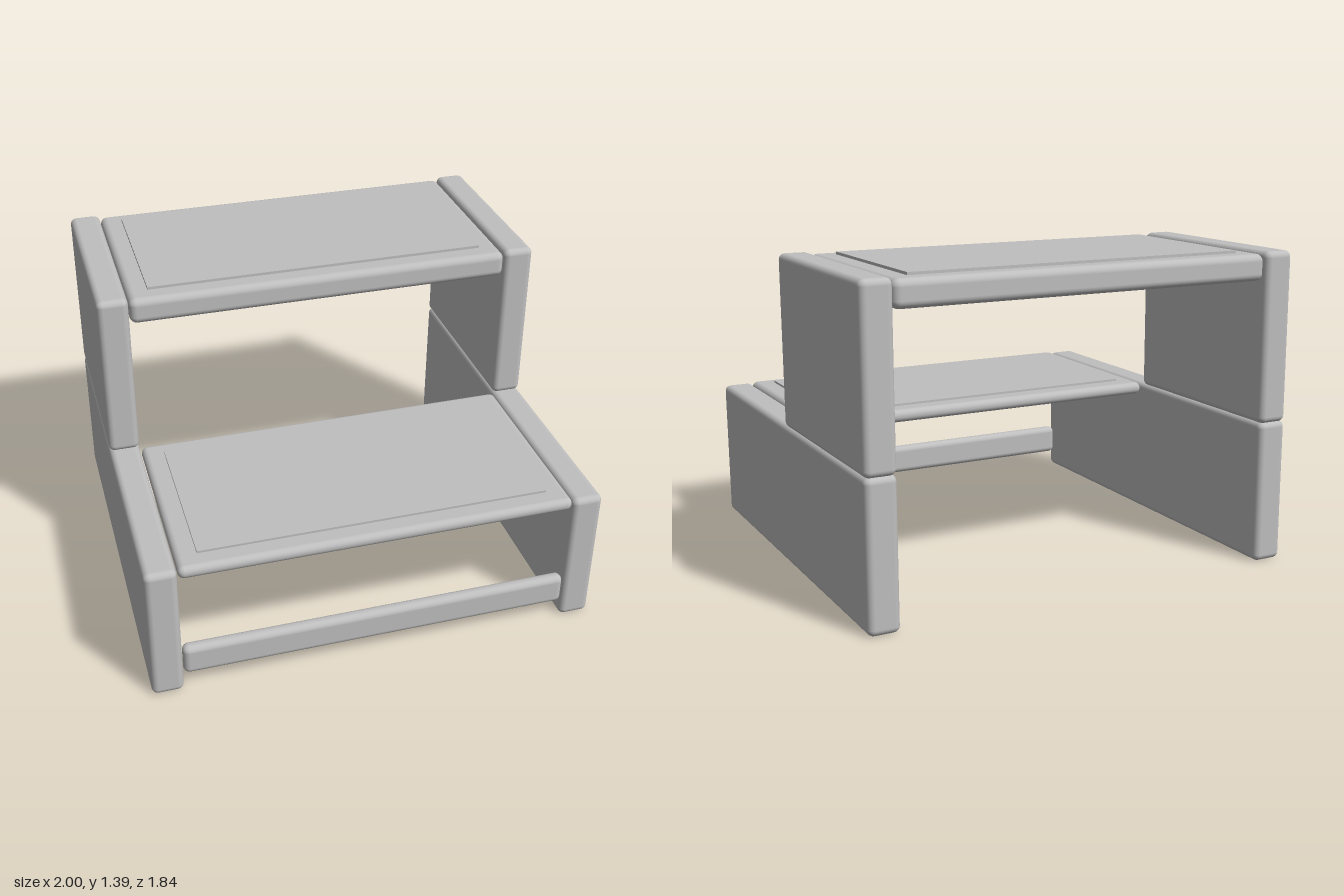
import * as THREE from 'three';
import { RoundedBoxGeometry } from 'three/addons/geometries/RoundedBoxGeometry.js';

const grey = new THREE.MeshStandardMaterial({ color: 0xbfbfbf });
grey.name = 'plain grey';

// The whole stool leans very slightly towards +x with height.
const LEAN = 0.008;

function place(geometry, name, x, y, z) {
  geometry.translate((x[0] + x[1]) / 2, (y[0] + y[1]) / 2, (z[0] + z[1]) / 2);
  const p = geometry.attributes.position;
  for (let i = 0; i < p.count; i++) p.setX(i, p.getX(i) + LEAN * p.getY(i));
  const mesh = new THREE.Mesh(geometry, grey);
  mesh.name = name;
  return mesh;
}

// Rounded board given by its [min, max] on each axis
function board(name, x, y, z, radius) {
  const g = new RoundedBoxGeometry(x[1] - x[0], y[1] - y[0], z[1] - z[0], 4, radius);
  return place(g, name, x, y, z);
}

// Thin sharp-edged mat lying on a tread
function mat(name, x, y, z) {
  return place(new THREE.BoxGeometry(x[1] - x[0], y[1] - y[0], z[1] - z[0]), name, x, y, z);
}

export function createModel() {
  const model = new THREE.Group();
  model.name = 'stepStool';

  // Stacked side panels: a long lower one and a short rear upper one
  for (const [side, x] of [['left', [0.85, 0.987]], ['right', [-1, -0.863]]]) {
    model.add(
      board(side + 'LowerPanel', x, [0, 0.637], [-0.92, 0.92], 0.028),
      board(side + 'UpperPanel', x, [0.632, 1.385], [-0.92, 0.005], 0.028)
    );
  }

  // Treads and front rail spanning between the panels
  const span = [-0.86, 0.85];
  model.add(
    board('upperTread', span, [1.26, 1.376], [-0.912, 0.002], 0.032),
    board('lowerTread', span, [0.585, 0.643], [0, 0.917], 0.028),
    board('frontRail', span, [0.08, 0.22], [0.857, 0.917], 0.028)
  );

  // Raised mats
  const matSpan = [-0.767, 0.757];
  model.add(
    mat('upperMat', matSpan, [1.375, 1.388], [-0.828, -0.088]),
    mat('lowerMat', matSpan, [0.642, 0.653], [0.09, 0.83])
  );
  return model;
}
